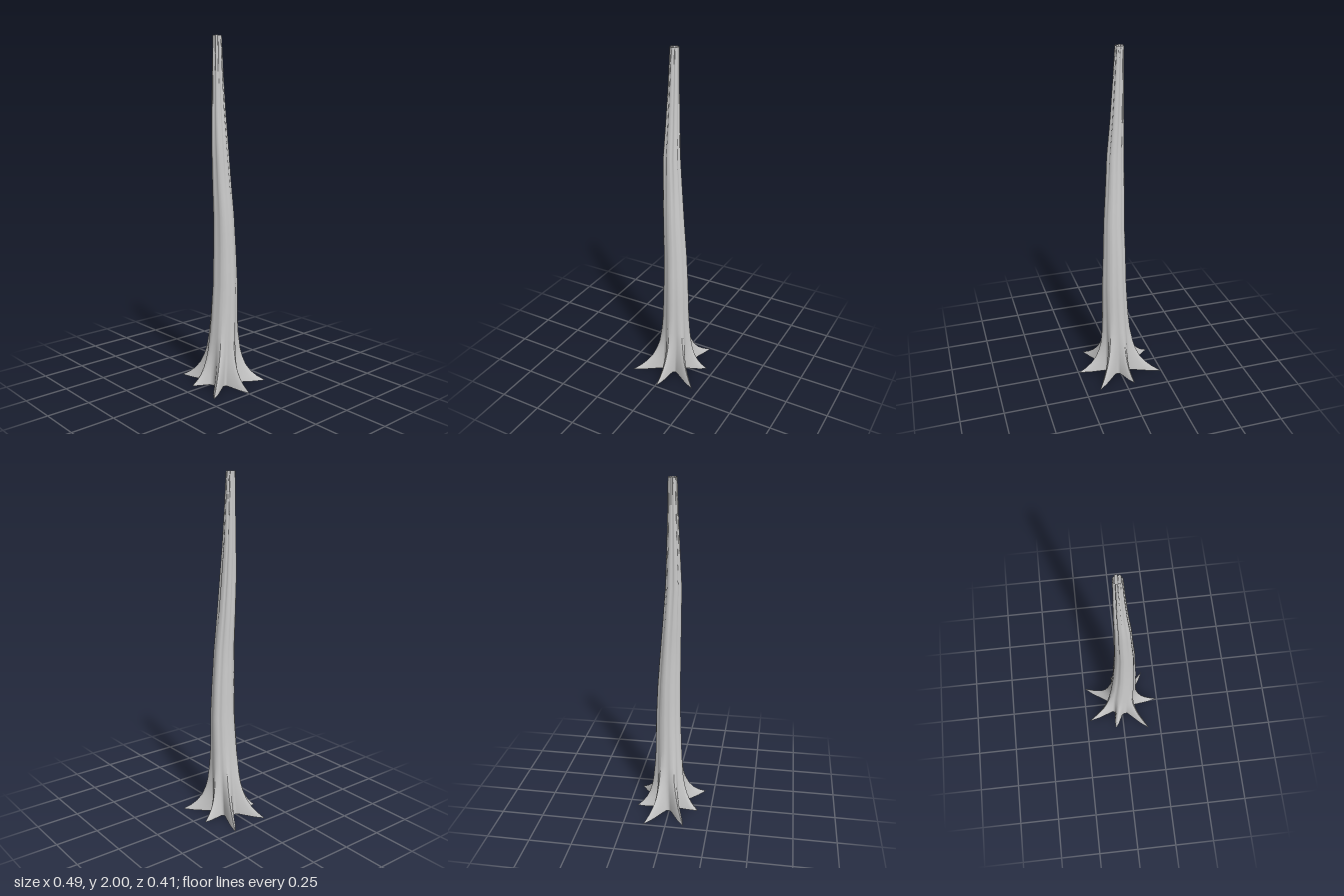
import * as THREE from 'three';

// Trunk stations: height, centre x, centre z, radius
const stations = [
  [0, 0, -0.003, 0.09], [0.2, 0.004, -0.012, 0.085], [0.4, 0.013, -0.015, 0.078],
  [0.6, 0.02, -0.018, 0.072], [0.8, 0.02, -0.015, 0.066], [1, 0.02, -0.007, 0.06],
  [1.2, 0.012, 0.003, 0.054], [1.4, 0.006, 0.012, 0.048], [1.6, -0.005, 0.012, 0.039],
  [1.8, -0.012, 0.011, 0.031], [2, -0.018, 0.01, 0.025],
];

// Root tips on the ground: x, z, half width of the tip
const rootTips = [
  [0.243, -0.003, 0], [0.17, 0.2, 0], [-0.053, 0.174, 0.005], [-0.227, 0.108, 0],
  [-0.245, -0.127, 0], [-0.053, -0.2, 0.001], [0.163, -0.203, 0],
];

// How far the roots reach outward at each height
const flare = [[0, 1], [0.03, 0.7], [0.06, 0.49], [0.1, 0.31], [0.15, 0.18],
  [0.2, 0.1], [0.3, 0.03], [0.4, 0], [2, 0]];

const heights = [0, 0.015, 0.03, 0.06, 0.1, 0.15, 0.2, 0.25, 0.3];
for (let y = 0.4; y < 2.01; y += 0.1) heights.push(Math.min(y, 2));

// Linear lookup of one column in a table sorted by height
function sample(table, y, column) {
  for (let i = 1; i < table.length; i++) {
    if (y <= table[i][0] + 1e-6) {
      const a = table[i - 1], b = table[i];
      return THREE.MathUtils.lerp(a[column], b[column], (y - a[0]) / (b[0] - a[0]));
    }
  }
  return table[table.length - 1][column];
}

// Fluted cross-section with one ridge per root
function ring(y) {
  const cx = sample(stations, y, 1), cz = sample(stations, y, 2);
  const r = sample(stations, y, 3), reach = sample(flare, y, 1);
  const groove = THREE.MathUtils.lerp(0.93, 0.72, Math.max(0, (y - 1) / 1));
  const points = [];
  rootTips.forEach(([tx, tz, blunt], k) => {
    const angle = Math.atan2(tz, tx);
    const next = rootTips[(k + 1) % rootTips.length];
    let step = Math.atan2(next[1], next[0]) - angle;
    if (step < 0) step += Math.PI * 2;
    const ext = (Math.hypot(tx, tz) - 0.09) * reach;
    const ridge = r * (1 + 0.03 * Math.sin(k * 2.3 + y * 4));
    const put = (along, side) => points.push(
      cx + Math.cos(angle) * along - Math.sin(angle) * side, y,
      cz + Math.sin(angle) * along + Math.cos(angle) * side);
    const shoulder = ridge * 0.99 + ext * 0.62;
    put(r * 0.93, -r * 0.29);
    put(shoulder, -r * 0.17);
    put(ridge + ext, -blunt);
    put(ridge + ext, blunt + 0.0005);
    put(shoulder, r * 0.17);
    put(r * 0.93, r * 0.29);
    // Groove between this root and the next
    const mid = angle + step / 2;
    points.push(cx + Math.cos(mid) * r * groove, y, cz + Math.sin(mid) * r * groove);
  });
  return points;
}

export function createModel() {
  const model = new THREE.Group();
  model.name = 'treeTrunk';
  const bark = new THREE.MeshStandardMaterial({ color: 0xcccccc, side: THREE.DoubleSide });
  bark.name = 'pale grey bark';

  // Hollow trunk and roots in one skin, open at both ends
  const count = rootTips.length * 7;
  const positions = heights.flatMap(ring);
  const index = [];
  for (let i = 0; i < heights.length - 1; i++) {
    for (let j = 0; j < count; j++) {
      const a = i * count + j, b = i * count + (j + 1) % count;
      index.push(a, a + count, b, b, a + count, b + count);
    }
  }
  const geometry = new THREE.BufferGeometry();
  geometry.setAttribute('position', new THREE.Float32BufferAttribute(positions, 3));
  geometry.setIndex(index);
  geometry.computeVertexNormals();

  const trunk = new THREE.Mesh(geometry, bark);
  trunk.name = 'trunkWithRoots';
  model.add(trunk);
  return model;
}
